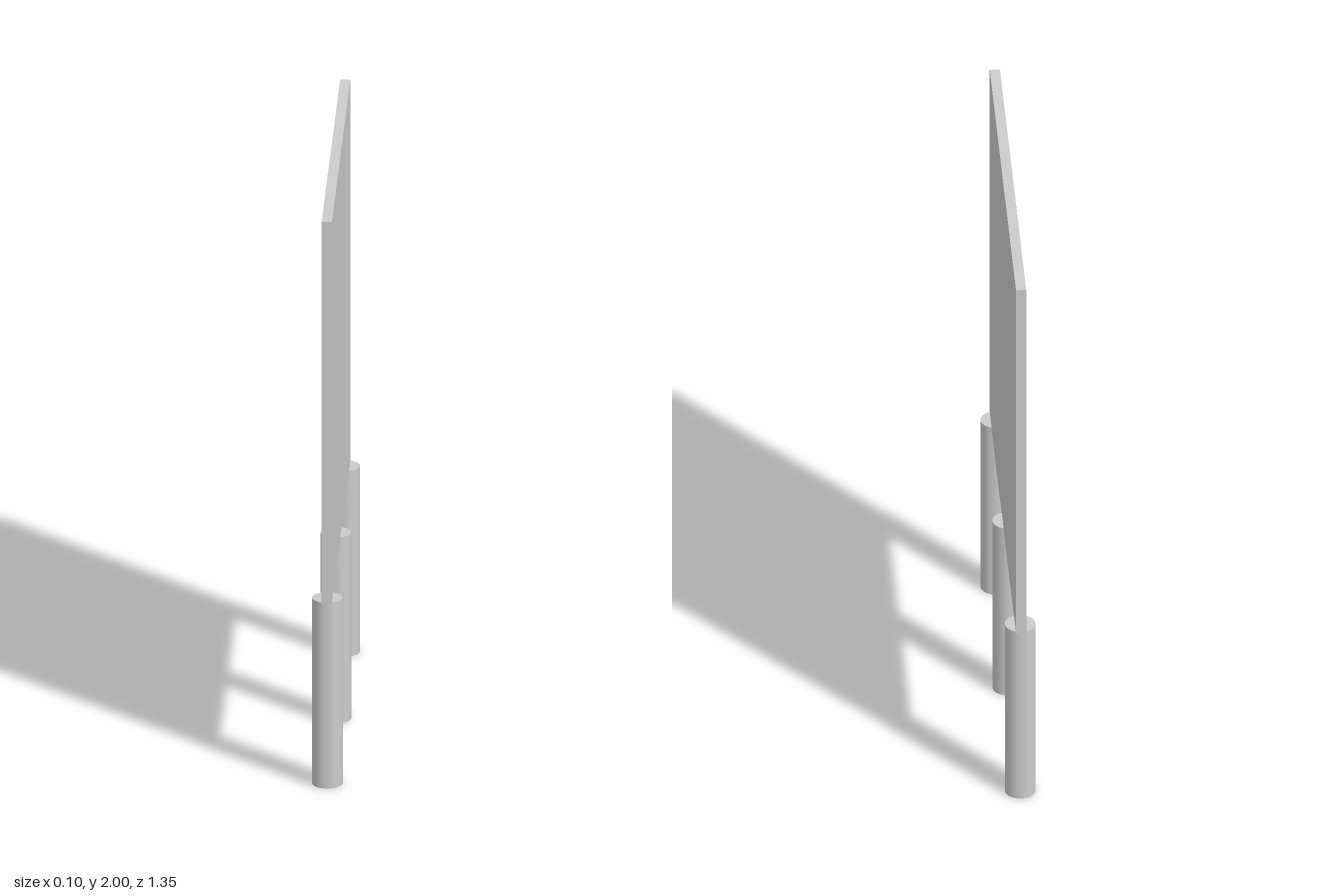
import * as THREE from 'three';

export function createModel() {
  const model = new THREE.Group();
  const material = new THREE.MeshStandardMaterial({ color: 0xcccccc });

  // Square upright board, standing edge-on to the front
  const size = 1.352;
  const panel = new THREE.Mesh(new THREE.BoxGeometry(0.034, size, size), material);
  panel.name = 'panel';
  panel.position.y = 2 - size / 2;
  model.add(panel);

  // Three round posts, the tops slightly overlapping the board
  const postHeight = 0.656;
  const postGeometry = new THREE.CylinderGeometry(0.051, 0.051, postHeight, 32);
  const posts = { frontPost: 0.625, middlePost: 0.007, backPost: -0.625 };
  for (const [name, z] of Object.entries(posts)) {
    const post = new THREE.Mesh(postGeometry, material);
    post.name = name;
    post.position.set(0, postHeight / 2, z);
    model.add(post);
  }

  return model;
}
